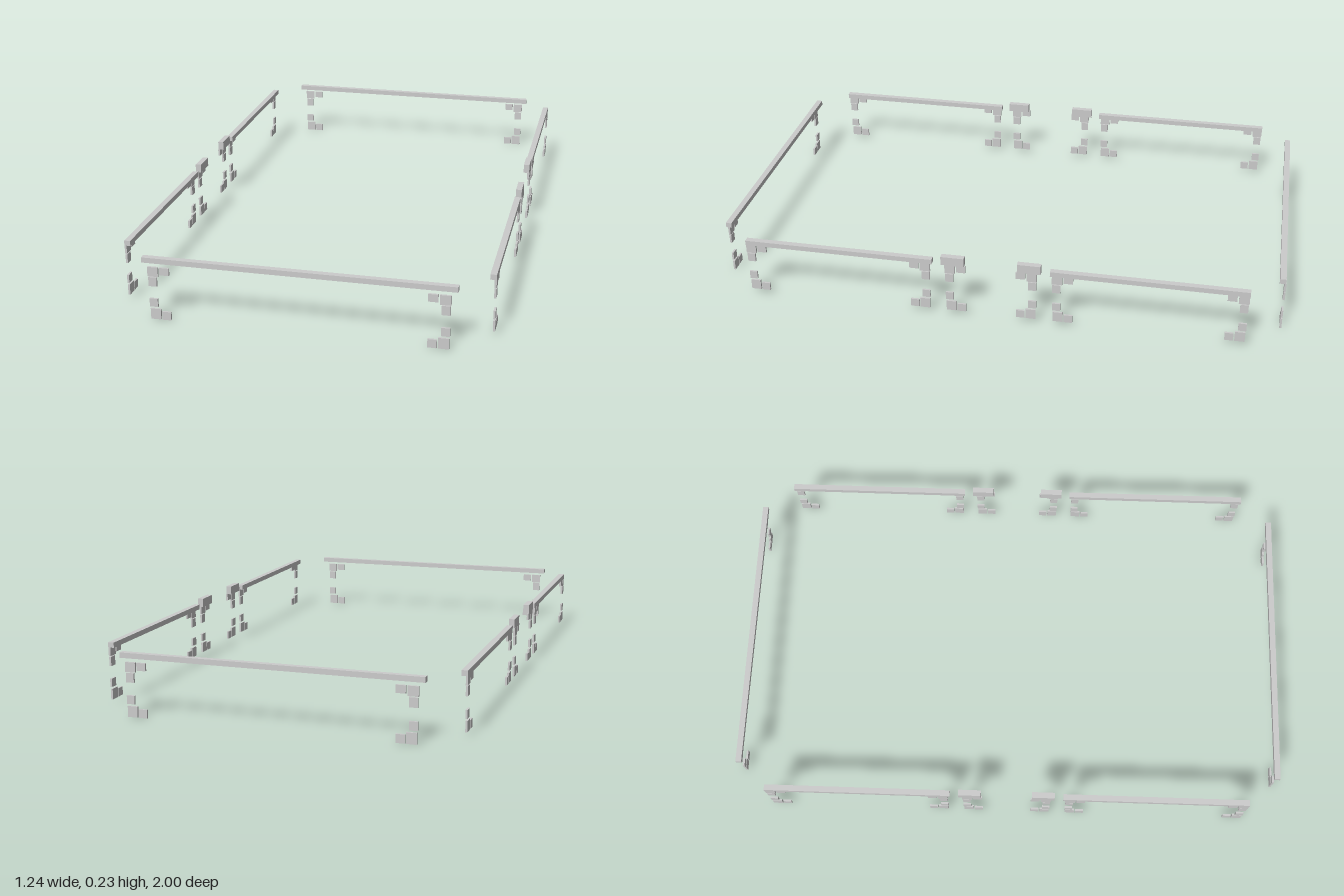
import * as THREE from 'three';

const material = new THREE.MeshStandardMaterial({ color: 0xcccccc, flatShading: true });

// Box given by its limits on each axis
function box(name, x0, x1, y0, y1, z0, z1) {
  const mesh = new THREE.Mesh(new THREE.BoxGeometry(x1 - x0, y1 - y0, z1 - z0), material);
  mesh.name = name;
  mesh.position.set((x0 + x1) / 2, (y0 + y1) / 2, (z0 + z1) / 2);
  return mesh;
}

// Corner plates: [start, end, bottom, top], measured along the wall from the bracket's outer edge
const PLATES = [
  [0, 0.036, 0.154, 0.187],
  [0.041, 0.073, 0.161, 0.187],
  [0.002, 0.030, 0.119, 0.151],
  [0.002, 0.030, 0.046, 0.075],
  [0.004, 0.039, 0.002, 0.039],
  [0.043, 0.073, 0.002, 0.031],
];
const THICK = 0.007;

// Bracket lying in the local xy plane, running from `edge` in direction `dir`
function bracket(edge, dir, lift) {
  const group = new THREE.Group();
  group.name = 'cornerBracket';
  for (const [a, b, y0, y1] of PLATES) {
    const u = edge + dir * a, v = edge + dir * b;
    group.add(box('bracketPlate', Math.min(u, v), Math.max(u, v), y0 + lift, y1 + lift, -THICK, 0));
  }
  return group;
}

// End wall: one long rail with a bracket near each end; outer face at local z = 0
function endWall() {
  const wall = new THREE.Group();
  wall.name = 'endWall';
  wall.add(box('endRail', -0.516, 0.516, 0.199, 0.217, -0.024, -0.003));
  for (const s of [-1, 1]) wall.add(bracket(s * 0.496, -s, 0));
  return wall;
}

// Side wall: two rails and two raised caps, mirrored about the gap in the middle
function sideWall() {
  const wall = new THREE.Group();
  wall.name = 'sideWall';
  for (const s of [-1, 1]) {
    const span = (a, b) => [Math.min(s * a, s * b), Math.max(s * a, s * b)];
    wall.add(box('sideRail', ...span(0.207, 0.883), 0.2, 0.218, -0.021, 0));
    wall.add(box('raisedCap', ...span(0.093, 0.175), 0.202, 0.234, -0.021, 0));
    wall.add(bracket(s * 0.882, -s, 0.016));
    wall.add(bracket(s * 0.214, s, 0.016));
    wall.add(bracket(s * 0.162, -s, 0.016));
  }
  return wall;
}

export function createModel() {
  const model = new THREE.Group();
  model.name = 'railFrame';
  for (const s of [-1, 1]) {
    const end = endWall();
    end.position.z = s;
    end.rotation.y = s > 0 ? 0 : Math.PI;
    const side = sideWall();
    side.position.x = s * 0.62;
    side.rotation.y = s * Math.PI / 2;
    model.add(end, side);
  }
  return model;
}
